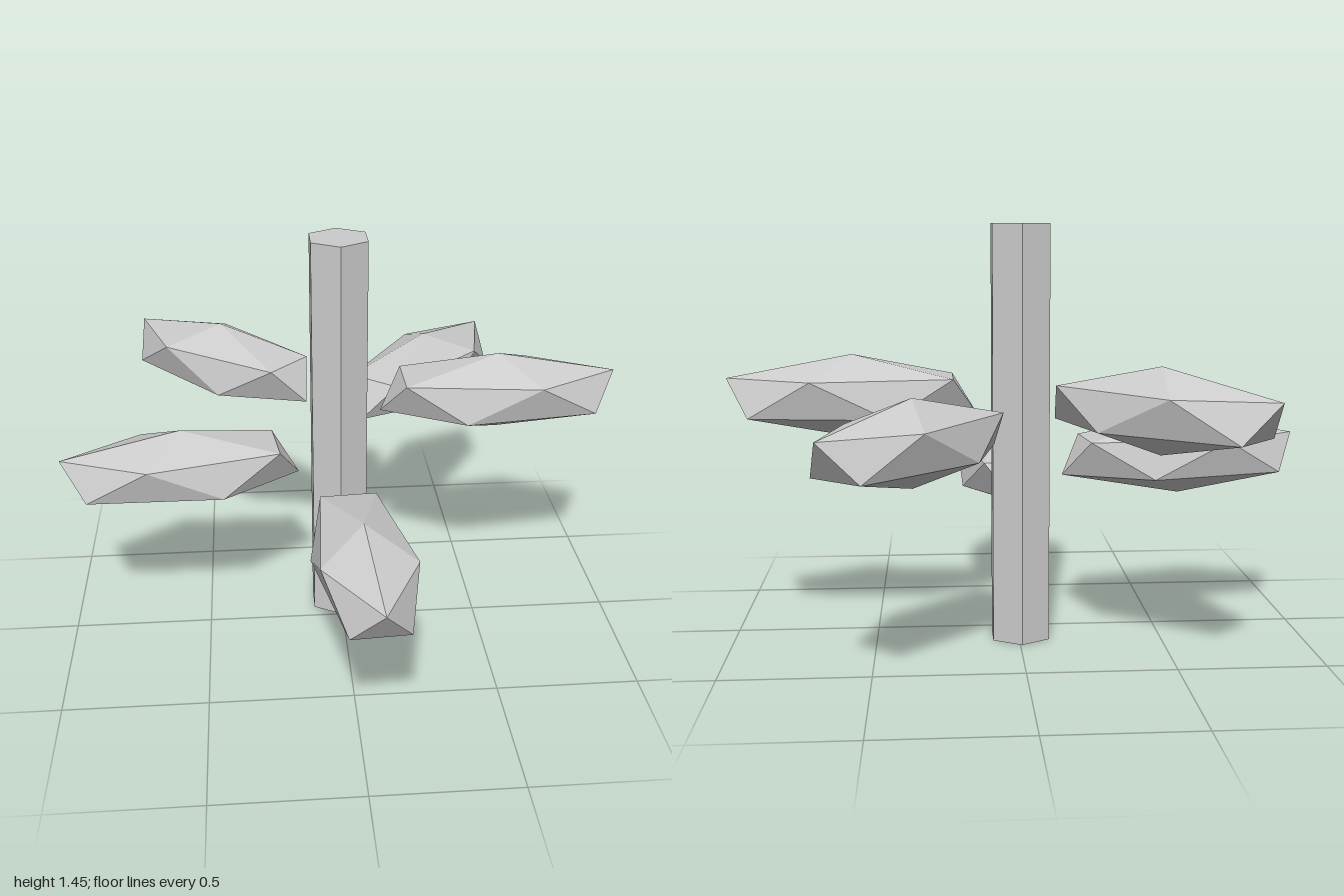
import * as THREE from 'three';

const STEM = { x: -0.006, z: -0.113, radius: 0.113, height: 1.45 };

// Each leaf: outer tip and inner tip in plan (x, z), and centre height
const LEAVES = [
  { tip: [0.06, 0.885], base: [0.005, 0.035], y: 0.518 },   // front
  { tip: [-1.0, 0.015], base: [-0.155, -0.09], y: 0.64 },   // right
  { tip: [0.63, -0.89], base: [0.09, -0.23], y: 0.775 },    // back left
  { tip: [0.997, -0.115], base: [0.144, -0.11], y: 0.867 }, // left
  { tip: [-0.74, -0.8], base: [-0.115, -0.215], y: 0.861 }, // back right
];

// Icosahedron with a corner straight up and an upper-ring corner toward +z,
// stretched into a long flat leaf
function leafGeometry() {
  const geometry = new THREE.IcosahedronGeometry(1, 0);
  geometry.rotateX(-Math.atan((1 + Math.sqrt(5)) / 2));
  geometry.scale(0.19, 0.1425, 0.476);
  return geometry;
}

export function createModel() {
  const model = new THREE.Group();
  model.name = 'plant';
  const material = new THREE.MeshStandardMaterial({ color: 0xcccccc, flatShading: true });

  // Six-sided stem
  const stem = new THREE.Mesh(
    new THREE.CylinderGeometry(STEM.radius, STEM.radius, STEM.height, 6),
    material
  );
  stem.name = 'stem';
  stem.position.set(STEM.x, STEM.height / 2, STEM.z);
  model.add(stem);

  // Leaves spread around the stem
  const geometry = leafGeometry();
  LEAVES.forEach(({ tip, base, y }, i) => {
    const leaf = new THREE.Mesh(geometry, material);
    leaf.name = `leaf${i + 1}`;
    leaf.position.set((tip[0] + base[0]) / 2, y, (tip[1] + base[1]) / 2);
    leaf.rotation.y = Math.atan2(tip[0] - base[0], tip[1] - base[1]);
    model.add(leaf);
  });

  return model;
}
